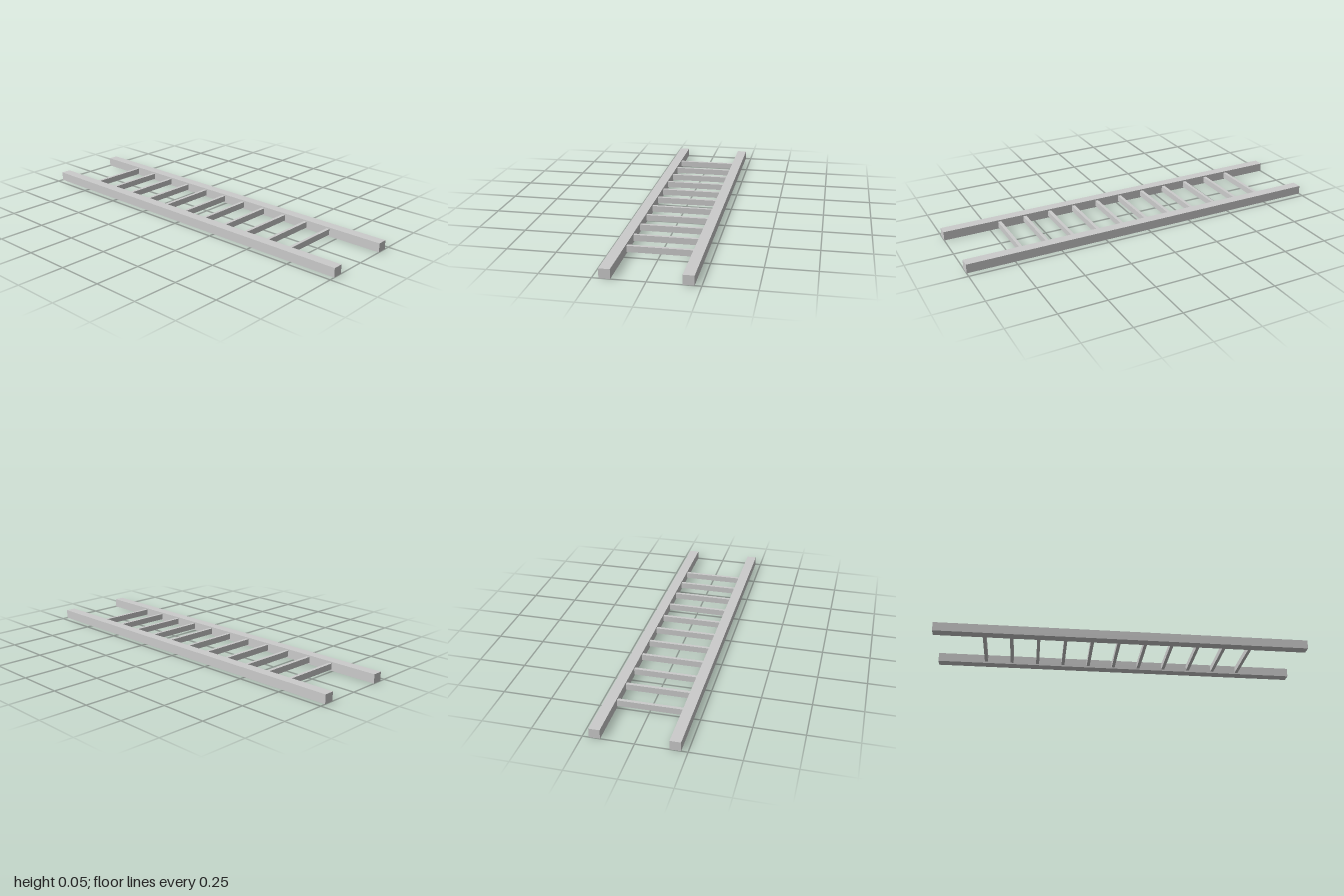
import * as THREE from 'three';

export function createModel() {
  const ladder = new THREE.Group();
  ladder.name = 'ladder';
  const material = new THREE.MeshStandardMaterial({ color: 0xcccccc, flatShading: true });

  const addBar = (name, size, position) => {
    const bar = new THREE.Mesh(new THREE.BoxGeometry(...size), material);
    bar.name = name;
    bar.position.set(...position);
    ladder.add(bar);
  };

  // Two long side rails
  const railHeight = 0.048, railDepth = 0.054, railZ = 0.191;
  addBar('frontRail', [2, railHeight, railDepth], [0, railHeight / 2, railZ]);
  addBar('backRail', [2, railHeight, railDepth], [0, railHeight / 2, -railZ]);

  // Eleven evenly spaced flat rungs, ending at the inner faces of the rails
  const rungCount = 11, firstX = -0.735, spacing = 0.143;
  const rungLength = 2 * railZ - railDepth;
  for (let i = 0; i < rungCount; i++) {
    addBar(`rung${i + 1}`, [0.017, 0.032, rungLength], [firstX + i * spacing, railHeight / 2, 0]);
  }

  return ladder;
}
